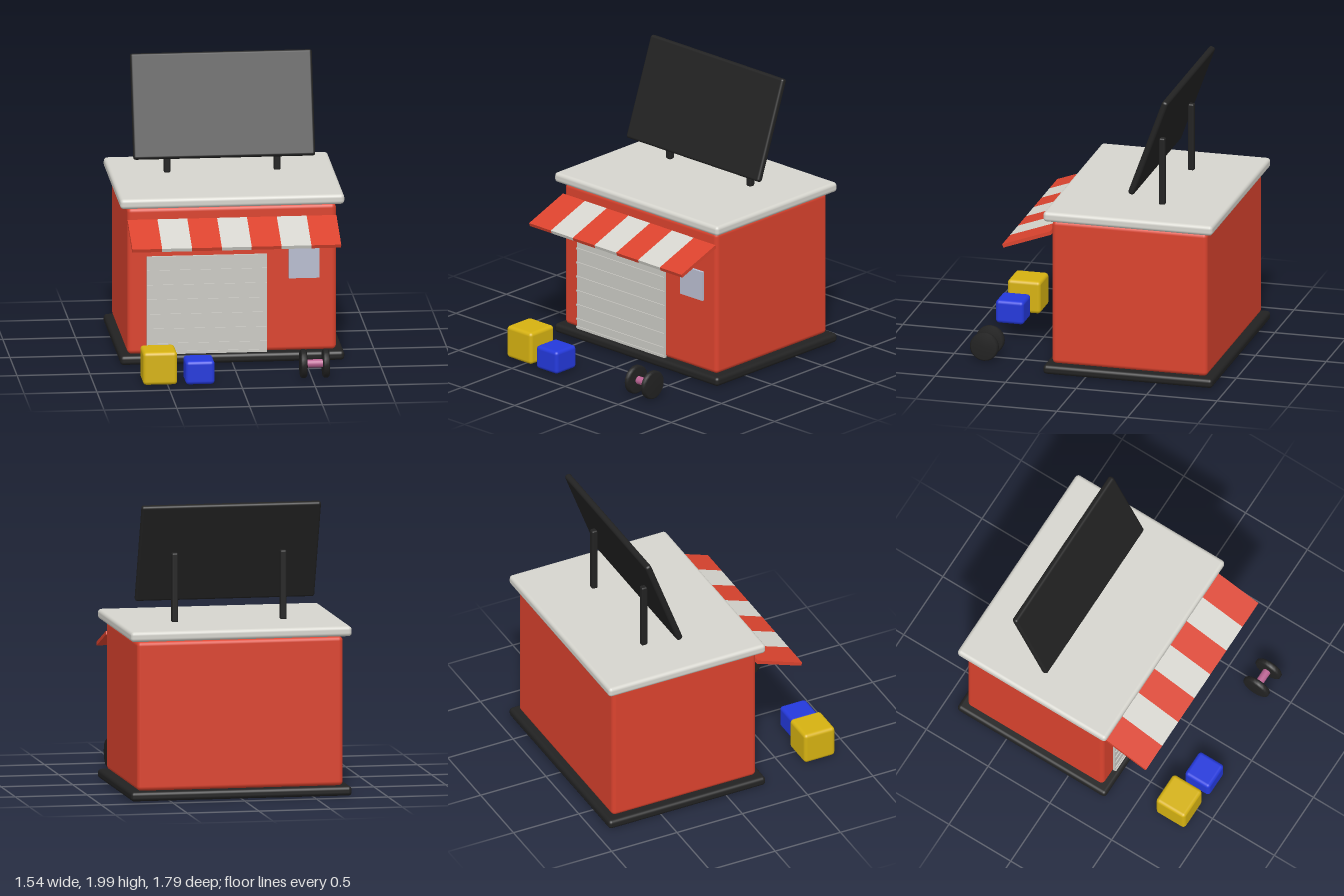
import * as THREE from 'three';
import { RoundedBoxGeometry } from 'three/addons/geometries/RoundedBoxGeometry.js';

function material(name, color) {
  const m = new THREE.MeshStandardMaterial({ color });
  m.name = name;
  return m;
}

export function createModel() {
  const red = material('red', 0xdb432e);
  const offWhite = material('off white', 0xd6d5ce);
  const shutterGrey = material('shutter grey', 0xcbcac4);
  const black = material('black', 0x222222);
  const glass = material('pale blue glass', 0xb9bdd0);
  const yellow = material('yellow', 0xd6b211);
  const blue = material('blue', 0x2439dc);
  const pink = material('pink', 0xbb6393);

  const model = new THREE.Group();
  model.name = 'shopKiosk';

  function add(name, geometry, mat, x, y, z, parent = model) {
    const mesh = new THREE.Mesh(geometry, mat);
    mesh.name = name;
    mesh.position.set(x, y, z);
    parent.add(mesh);
    return mesh;
  }
  const rounded = (w, h, d, r) => new RoundedBoxGeometry(w, h, d, 3, r);
  const box = (w, h, d) => new THREE.BoxGeometry(w, h, d);

  // Building: base slab, walls and flat roof
  add('baseSlab', rounded(1.54, 0.065, 1.2, 0.025), black, 0, 0.0375, -0.3);
  add('walls', rounded(1.435, 1.03, 1.1, 0.03), red, 0, 0.585, -0.3);
  add('roof', rounded(1.54, 0.07, 1.2, 0.025), offWhite, 0, 1.14, -0.3);

  // Roller shutter with raised ribs
  const shutter = new THREE.Group();
  shutter.name = 'rollerShutter';
  model.add(shutter);
  add('shutterPanel', box(0.825, 0.69, 0.02), shutterGrey, -0.1725, 0.415, 0.256, shutter);
  for (let i = 0; i < 7; i++) {
    add('shutterRib', box(0.825, 0.012, 0.01), shutterGrey, -0.1725, 0.658 - i * 0.103 + (i === 6 ? 0.045 : 0), 0.268, shutter);
  }

  // Small window beside the shutter
  add('window', box(0.21, 0.21, 0.02), glass, 0.495, 0.69, 0.26);

  // Striped sloping awning
  const awning = new THREE.Group();
  awning.name = 'awning';
  awning.position.set(0, 0.95, 0.427);
  awning.rotation.x = THREE.MathUtils.degToRad(20);
  model.add(awning);
  const stripe = 1.435 / 7;
  for (let i = 0; i < 7; i++) {
    add('awningStripe', box(stripe, 0.025, 0.36), i % 2 ? offWhite : red, (i - 3) * stripe, 0, 0, awning);
  }

  // Tilted roof sign on two posts
  const sign = add('roofSign', rounded(1.25, 0.73, 0.045, 0.018), black, 0, 1.65, -0.405);
  sign.rotation.x = THREE.MathUtils.degToRad(-20);
  for (const side of [-1, 1]) {
    add('signPost', rounded(0.045, 0.48, 0.045, 0.012), black, side * 0.378, 1.412, -0.443);
  }

  // Loose crates
  add('yellowCrate', rounded(0.235, 0.23, 0.235, 0.025), yellow, -0.552, 0.125, 0.762);
  add('blueCrate', rounded(0.2, 0.165, 0.2, 0.025), blue, -0.279, 0.0925, 0.794);

  // Dumbbell: handle and two bevelled discs
  const dumbbell = new THREE.Group();
  dumbbell.name = 'dumbbell';
  dumbbell.position.set(0.518, 0.108, 0.76);
  dumbbell.rotation.z = Math.PI / 2;
  model.add(dumbbell);
  add('handle', new THREE.CylinderGeometry(0.028, 0.028, 0.14, 20), pink, 0, 0.0, 0, dumbbell).position.y = -0.002;
  const profile = [[0, -0.022], [0.088, -0.022], [0.1, -0.012], [0.1, 0.012], [0.088, 0.022], [0, 0.022]]
    .map(([r, y]) => new THREE.Vector2(r, y));
  for (const side of [-1, 1]) {
    add('weightDisc', new THREE.LatheGeometry(profile, 24), black, 0, side * 0.077, 0, dumbbell);
  }

  return model;
}
